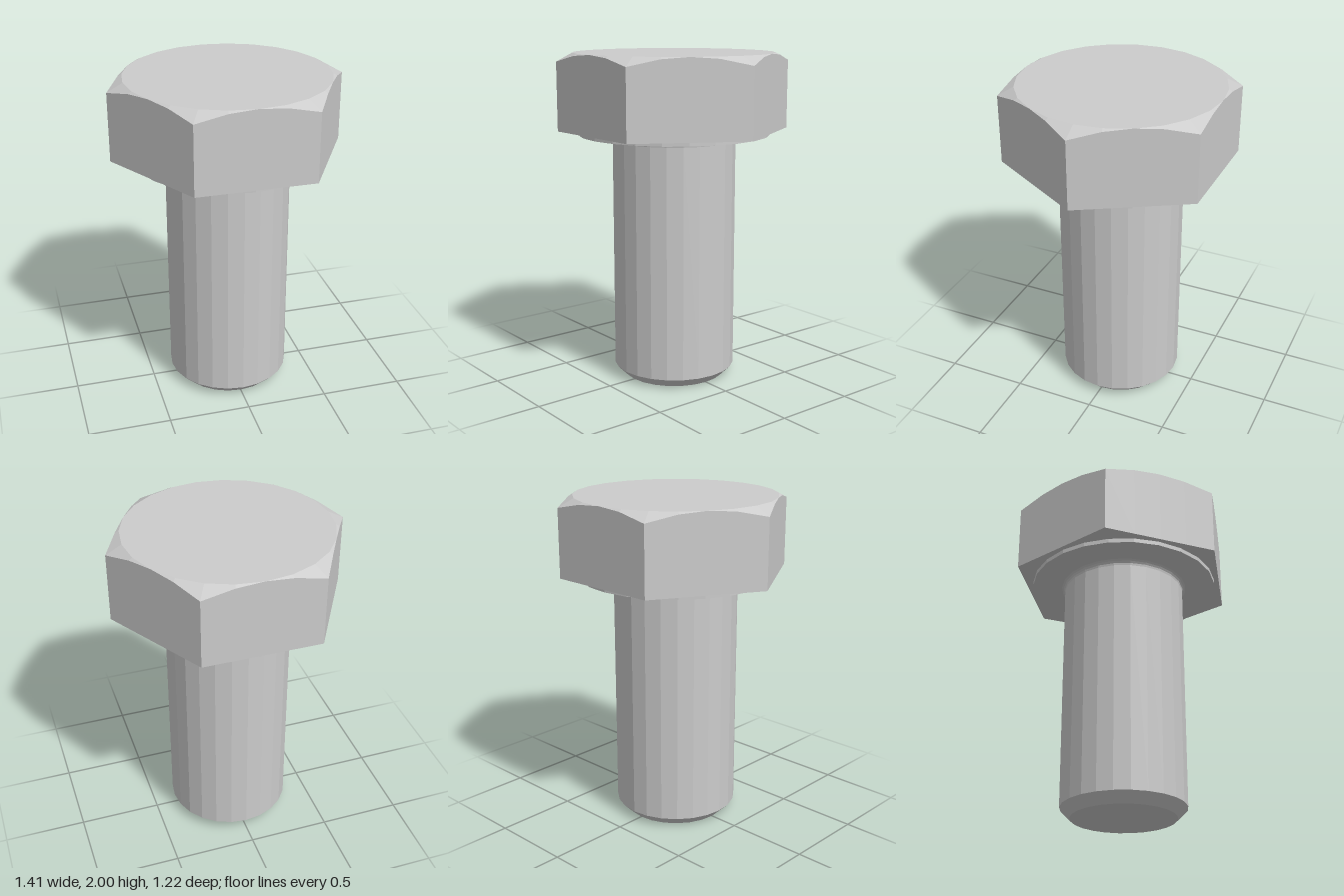
import * as THREE from 'three';

const SIDES = 24;
const APOTHEM = 0.609;
const HEAD_BOTTOM = 1.535;
const WASHER_BOTTOM = 1.51;
const CHAMFER_SLOPE = 0.54;

// Hexagonal head whose top corners are cut by a shallow cone
function headGeometry() {
  const top = [], rim = [], base = [];
  for (let i = 0; i < SIDES; i++) {
    const a = (i / SIDES) * Math.PI * 2;
    const fromMiddle = (a % (Math.PI / 3)) - Math.PI / 6;
    const atMiddle = i % 4 === 2;
    const r = atMiddle ? APOTHEM : APOTHEM / Math.cos(i % 4 === 0 ? Math.PI / 6 : fromMiddle);
    const point = (radius, y) => [radius * Math.sin(a + Math.PI / 2), y, radius * Math.cos(a + Math.PI / 2)];
    top.push(point(APOTHEM, 2));
    rim.push(point(r, 2 - (r - APOTHEM) * CHAMFER_SLOPE));
    base.push(point(r, HEAD_BOTTOM));
  }
  const positions = [];
  const tri = (a, b, c) => positions.push(...a, ...b, ...c);
  for (let i = 0; i < SIDES; i++) {
    const j = (i + 1) % SIDES;
    tri([0, 2, 0], top[i], top[j]);
    // the cone meets the flat at the middle of each side, so one triangle vanishes there
    if (i % 4 !== 2) tri(top[i], rim[i], rim[j]);
    if (j % 4 !== 2) tri(top[i], rim[j], top[j]);
    tri(rim[i], base[i], base[j]);
    tri(rim[i], base[j], rim[j]);
    tri([0, HEAD_BOTTOM, 0], base[j], base[i]);
  }
  const geometry = new THREE.BufferGeometry();
  geometry.setAttribute('position', new THREE.Float32BufferAttribute(positions, 3));
  geometry.computeVertexNormals();
  return geometry;
}

function lathe(points) {
  return new THREE.LatheGeometry(points.map(([r, y]) => new THREE.Vector2(r, y)), SIDES);
}

export function createModel() {
  const group = new THREE.Group();
  const material = new THREE.MeshStandardMaterial({ color: 0xcccccc, flatShading: true });
  const add = (name, geometry) => {
    const mesh = new THREE.Mesh(geometry, material);
    mesh.name = name;
    group.add(mesh);
  };

  // Shank with a chamfered tip and a small fillet under the head
  const shankRadius = 0.375, fillet = 0.035;
  const profile = [[0, 0], [0.315, 0], [shankRadius, 0.06]];
  for (let i = 0; i <= 4; i++) {
    const a = (i / 4) * Math.PI / 2;
    profile.push([
      shankRadius + fillet * (1 - Math.cos(a)),
      WASHER_BOTTOM - fillet * (1 - Math.sin(a)),
    ]);
  }
  add('shank', lathe(profile));

  // Thin round bearing face below the head
  add('washerFace', lathe([
    [shankRadius + fillet, WASHER_BOTTOM], [0.58, WASHER_BOTTOM], [0.58, HEAD_BOTTOM],
  ]));

  add('hexHead', headGeometry());
  return group;
}
